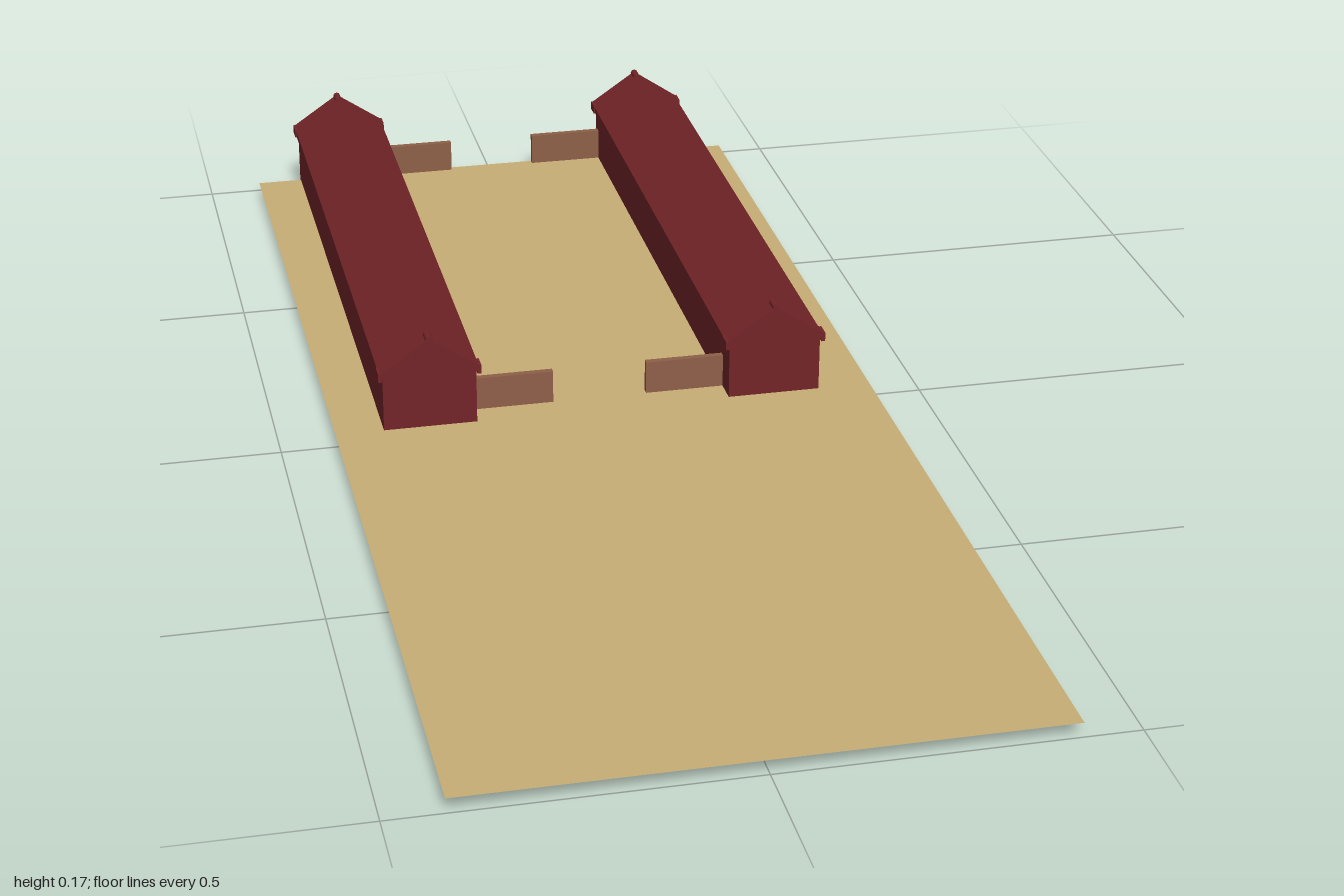
import * as THREE from 'three';

const mat = (color, extra = {}) => new THREE.MeshStandardMaterial({ color, ...extra });

function add(parent, name, geometry, material, x = 0, y = 0, z = 0) {
  const mesh = new THREE.Mesh(geometry, material);
  mesh.name = name;
  mesh.position.set(x, y, z);
  parent.add(mesh);
  return mesh;
}

// Closed outline in x/y, extruded along +z
function prism(points, depth) {
  const shape = new THREE.Shape(points.map(([x, y]) => new THREE.Vector2(x, y)));
  return new THREE.ExtrudeGeometry(shape, { depth, bevelEnabled: false });
}

// Inverted V: half width, eave top, ridge top, vertical thickness
const chevron = (w, eave, ridge, t) => [
  [-w, eave], [-w, eave - t], [0, ridge - t], [w, eave - t], [w, eave], [0, ridge],
];

export function createModel() {
  const model = new THREE.Group();
  const sand = mat(0xc8ae76, { side: THREE.DoubleSide });
  const red = mat(0x732428);
  const brown = mat(0x8f6049);

  // Ground sheet, slightly above the feet of the walls
  const ground = add(model, 'ground', new THREE.PlaneGeometry(0.835, 1.98), sand, 0, 0.022, 0.01);
  ground.rotation.x = -Math.PI / 2;

  const back = -0.99, front = 0.003, length = front - back, mid = (front + back) / 2;
  const half = 0.0715, wall = 0.016;

  function longHouse(name, x) {
    const house = new THREE.Group();
    house.name = name;
    house.position.x = x;
    model.add(house);

    // Long side walls
    for (const s of [-1, 1]) {
      add(house, 'sideWall', new THREE.BoxGeometry(wall, 0.11, length), red,
        s * (half - wall / 2), 0.055, mid);
    }
    // Gable ends, a touch shorter at the foot
    const gable = [[-half, 0.003], [half, 0.003], [half, 0.11], [0, 0.158], [-half, 0.11]];
    for (const z of [back, front - wall]) add(house, 'gableWall', prism(gable, wall), red, 0, 0, z);

    // Roof with raised verge boards and ridge and eave caps at both ends
    add(house, 'roof', prism(chevron(0.076, 0.115, 0.167, 0.01), 1.0), red, 0, 0, -0.996);
    for (const z of [-1.0, -0.016]) {
      add(house, 'vergeBoard', prism(chevron(0.078, 0.117, 0.17, 0.012), 0.024), red, 0, 0, z);
      const cap = add(house, 'ridgeCap', new THREE.CylinderGeometry(0.006, 0.006, 0.024, 8), red,
        0, 0.168, z + 0.012);
      cap.rotation.x = Math.PI / 2;
      for (const s of [-1, 1]) {
        add(house, 'eaveCap', new THREE.BoxGeometry(0.006, 0.014, 0.024), red,
          s * 0.0755, 0.112, z + 0.012);
      }
    }
  }
  longHouse('rightHouse', -0.272);
  longHouse('leftHouse', 0.264);

  // Short fence panels reaching into the yard from both houses
  for (const z of [-0.042, -0.975]) {
    add(model, 'rightFence', new THREE.BoxGeometry(0.127, 0.057, 0.01), brown, -0.1385, 0.0455, z);
    add(model, 'leftFence', new THREE.BoxGeometry(0.124, 0.057, 0.01), brown, 0.133, 0.0455, z);
  }
  return model;
}
